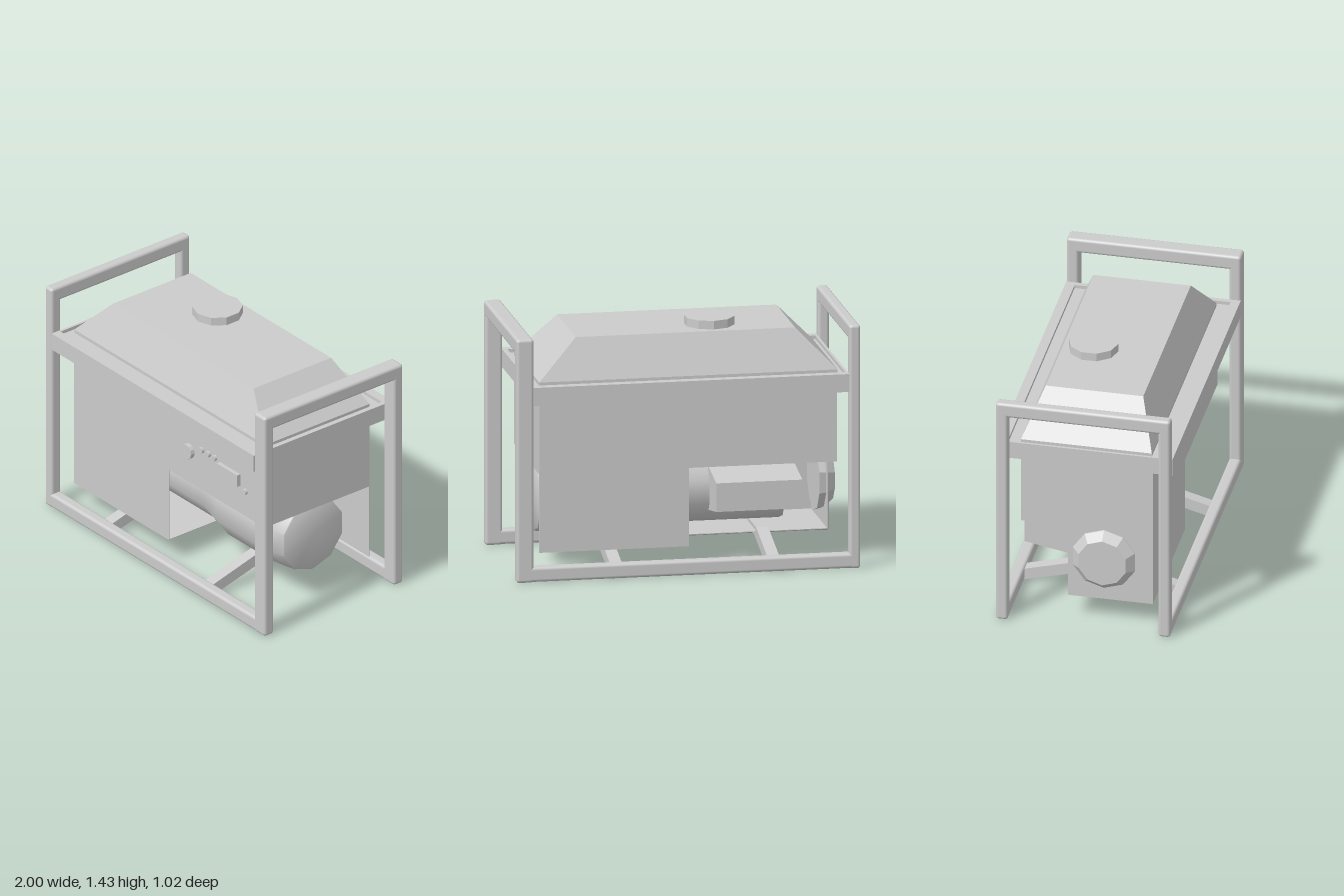
import * as THREE from 'three';
import { RoundedBoxGeometry } from 'three/addons/geometries/RoundedBoxGeometry.js';
import { toCreasedNormals } from 'three/addons/utils/BufferGeometryUtils.js';

const smooth = new THREE.MeshStandardMaterial({ color: 0xcccccc, side: THREE.DoubleSide });
const flat = new THREE.MeshStandardMaterial({ color: 0xcccccc, flatShading: true, side: THREE.DoubleSide });

export function createModel() {
  const root = new THREE.Group();

  const add = (name, geometry, material = flat, parent = root) => {
    const mesh = new THREE.Mesh(geometry, material);
    mesh.name = name;
    parent.add(mesh);
    return mesh;
  };
  const group = (name) => {
    const g = new THREE.Group();
    g.name = name;
    root.add(g);
    return g;
  };
  // Box given by its limits on each axis
  const box = (name, x0, x1, y0, y1, z0, z1, parent = root) => {
    const g = new THREE.BoxGeometry(x1 - x0, y1 - y0, z1 - z0);
    g.translate((x0 + x1) / 2, (y0 + y1) / 2, (z0 + z1) / 2);
    return add(name, g, flat, parent);
  };
  // Frame bar with softened edges
  const bar = (name, x0, x1, y0, y1, z0, z1, parent) => {
    const g = new RoundedBoxGeometry(x1 - x0, y1 - y0, z1 - z0, 3, 0.018);
    g.translate((x0 + x1) / 2, (y0 + y1) / 2, (z0 + z1) / 2);
    return add(name, g, smooth, parent);
  };
  // Box whose far end (top) has its own limits: [x0, x1, z0, z1]
  const frustum = (b, t, y0, y1) => {
    const g = new THREE.BoxGeometry(1, 1, 1);
    const p = g.attributes.position;
    for (let i = 0; i < p.count; i++) {
      const up = p.getY(i) > 0;
      const r = up ? t : b;
      p.setXYZ(i, p.getX(i) < 0 ? r[0] : r[1], up ? y1 : y0, p.getZ(i) < 0 ? r[2] : r[3]);
    }
    g.computeVertexNormals();
    return g;
  };
  // Lathe around the x axis from [x, radius] pairs
  const latheX = (pairs, sides) => {
    const g = new THREE.LatheGeometry(pairs.map(([x, r]) => new THREE.Vector2(r, x)), sides);
    g.rotateZ(-Math.PI / 2);
    return g;
  };

  // Carrying frame: two end hoops joined by bottom rails
  const frame = group('frame');
  for (const [x0, x1] of [[-1, -0.935], [0.9, 1]]) {
    bar('hoopTop', x0, x1, 1.34, 1.43, -0.51, 0.51, frame);
    for (const z of [-0.51, 0.44]) bar('post', x0, x1, 0, 1.43, z, z + 0.07, frame);
  }
  for (const z of [-0.51, 0.44]) bar('bottomRail', -0.99, 0.98, 0.003, 0.09, z, z + 0.07, frame);

  // Bent cross supports under the engine
  const chevron = new THREE.Shape([
    [-0.45, 0.005], [-0.035, 0.115], [0.035, 0.115], [0.45, 0.005],
    [0.45, 0.075], [0.1, 0.17], [-0.1, 0.17], [-0.45, 0.075],
  ].map(([a, b]) => new THREE.Vector2(a, b)));
  for (const x of [-0.54, 0.375]) {
    const g = new THREE.ExtrudeGeometry(chevron, { depth: 0.07, bevelEnabled: false });
    g.rotateY(Math.PI / 2);
    add('crossSupport', g, flat, frame).position.x = x;
  }

  // Tray with a raised rim that carries the tank
  const tray = group('tray');
  box('trayPlate', -0.92, 0.87, 1.04, 1.125, -0.455, 0.455, tray);
  box('trayRimBack', -0.935, 0.9, 1.04, 1.145, -0.51, -0.455, tray);
  box('trayRimFront', -0.935, 0.9, 1.04, 1.145, 0.455, 0.51, tray);
  box('trayRimRight', -0.935, -0.92, 1.04, 1.145, -0.455, 0.455, tray);
  box('trayRimLeft', 0.87, 0.9, 1.04, 1.145, -0.455, 0.455, tray);

  // Fuel tank and cap
  box('tankBase', -0.89, 0.845, 1.12, 1.145, -0.385, 0.38);
  add('fuelTank', frustum([-0.89, 0.845, -0.385, 0.38], [-0.66, 0.615, -0.29, 0.28], 1.145, 1.38));
  add('fuelCap', new THREE.CylinderGeometry(0.145, 0.145, 0.06, 10)).position.set(-0.195, 1.4, -0.11);

  // Housing: upper box, open engine bay below, and back panel
  const housing = group('housing');
  box('upperHousing', -0.885, 0.845, 0.605, 1.03, -0.385, 0.385, housing);
  box('bayFront', -0.885, -0.025, 0.145, 0.605, 0.381, 0.385, housing);
  box('bayEnd', -0.885, -0.881, 0.145, 0.605, -0.11, 0.385, housing);
  box('bayFloor', -0.885, -0.025, 0.145, 0.149, -0.11, 0.385, housing);
  box('backPanel', -0.025, 0.845, 0.145, 0.605, -0.385, -0.381, housing);

  // Alternator barrel running along x
  const barrel = latheX([
    [-0.62, 0], [-0.62, 0.21], [0.05, 0.21], [0.13, 0.228], [0.22, 0.25],
    [0.6, 0.25], [0.72, 0.238], [0.805, 0.226], [0.81, 0.22], [0.81, 0],
  ], 10);
  barrel.rotateX(Math.PI / 2);
  add('alternator', toCreasedNormals(barrel, 0.8), smooth).position.set(0, 0.41, 0);

  // Muffler, tapering toward the back
  const muffler = frustum([-0.68, -0.18, 0.28, 0.575], [-0.68, -0.18, 0.345, 0.513], 0.05, 0.41);
  // swap y and z so that the taper points to -z
  muffler.rotateX(-Math.PI / 2);
  muffler.scale(1, -1, 1);
  const index = muffler.index;
  for (let i = 0; i < index.count; i += 3) {
    const a = index.getX(i);
    index.setX(i, index.getX(i + 1));
    index.setX(i + 1, a);
  }
  muffler.computeVertexNormals();
  // rotateX sends z to y and y to -z; the mirror flips y back to positive
  muffler.computeBoundingBox();
  if (muffler.boundingBox.max.y < 0) muffler.scale(1, -1, 1);
  add('muffler', muffler);

  // Pull starter on the end wall
  const starter = latheX([[-0.94, 0], [-0.94, 0.145], [-0.89, 0.19], [-0.84, 0.2], [-0.84, 0]], 10);
  starter.rotateX(Math.PI / 2);
  add('pullStarter', starter).position.set(0, 0.41, 0.1);

  // Front controls
  const controls = group('controls');
  const knob = (name, x, y, r, depth) => {
    const g = new THREE.CylinderGeometry(r, r, depth, 12);
    g.rotateX(Math.PI / 2);
    add(name, g, flat, controls).position.set(x, y, 0.385 + depth / 2);
  };
  knob('dial', 0.165, 0.815, 0.045, 0.027);
  for (const x of [0.28, 0.34, 0.397]) knob('button', x, 0.87, 0.018, 0.018);
  knob('socketSwitch', 0.675, 0.77, 0.018, 0.018);
  box('outletBlock', 0.44, 0.625, 0.785, 0.86, 0.384, 0.41, controls);

  return root;
}
